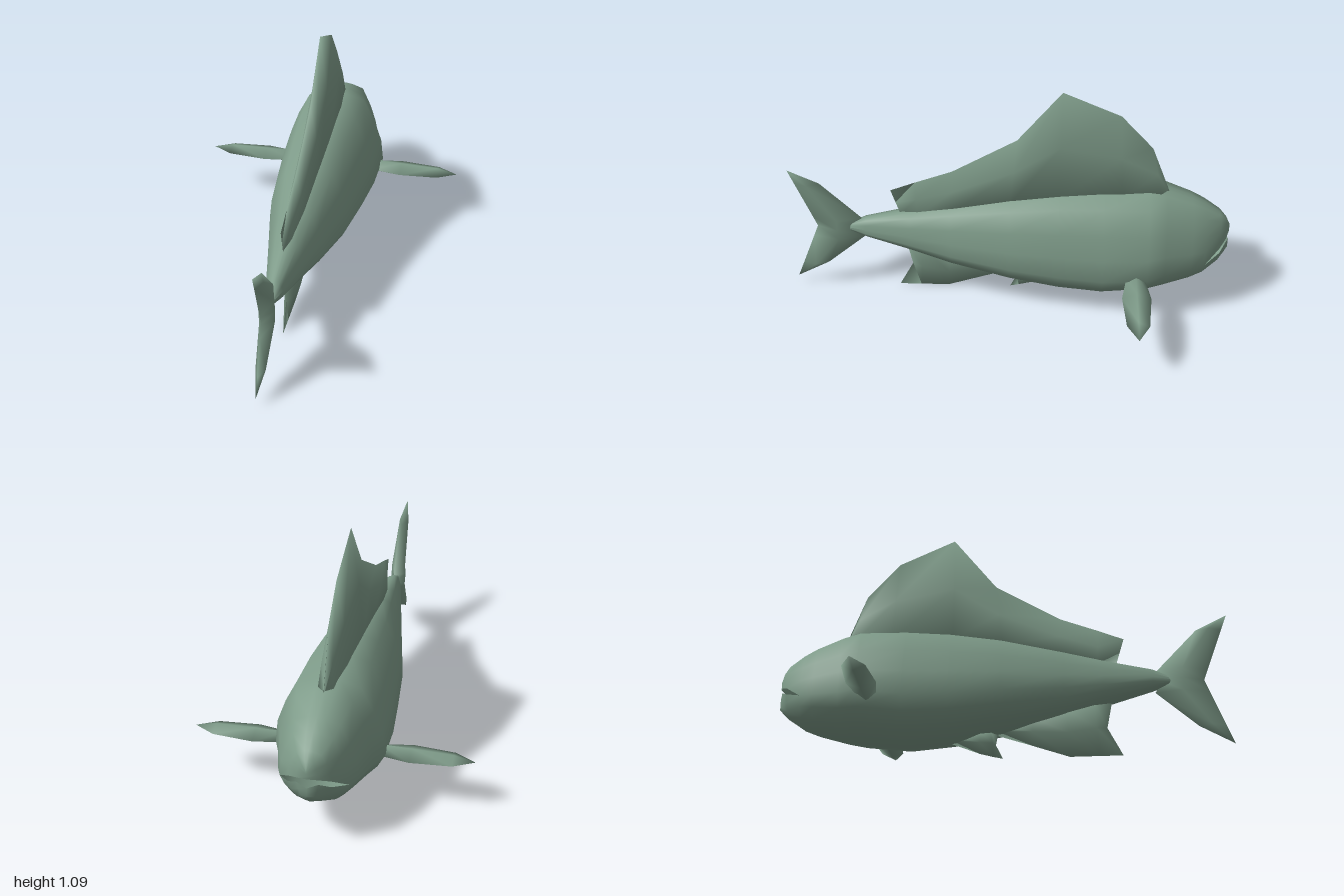
import * as THREE from 'three';
import { mergeVertices } from 'three/addons/utils/BufferGeometryUtils.js';

const V = (x, y, z) => new THREE.Vector3(x, y, z);

// Skin a list of closed rings; quads listed in skip are left open
function loft(rings, skip = []) {
  const n = rings[0].length, idx = [];
  for (let i = 0; i < rings.length - 1; i++) {
    for (let j = 0; j < n; j++) {
      if (skip.includes(j)) continue;
      const a = i * n + j, b = i * n + (j + 1) % n;
      idx.push(a, b, a + n, b, b + n, a + n);
    }
  }
  const pts = rings.flat();
  // Turn faces outward using the enclosed volume
  let volume = 0;
  for (let i = 0; i < idx.length; i += 3) {
    volume += pts[idx[i]].dot(V(0, 0, 0).crossVectors(pts[idx[i + 1]], pts[idx[i + 2]]));
  }
  if (volume < 0) idx.reverse();
  let geo = new THREE.BufferGeometry().setFromPoints(pts);
  geo.setIndex(idx);
  geo = mergeVertices(geo, 1e-4);
  geo.computeVertexNormals();
  return geo;
}

// Body ring: the side profile is split at the lip line
function bodyRing([z, top, bottom, w, lipUp, lipLow]) {
  const lip = bottom + 0.31 * (top - bottom);
  const up = lipUp ?? lip, low = lipLow ?? lip;
  const upper = [[0, 0], [0.02, 0.2], [0.1, 0.57], [0.4, 0.79], [0.7, 0.95], [1, 1]];
  const lower = [[0, 1], [0.4, 0.86], [0.77, 0.62], [0.94, 0.22], [1, 0]];
  const half = [
    ...upper.map(([k, f]) => V(w * f, top + (up - top) * k, z)),
    ...lower.map(([k, f]) => V(w * f, low + (bottom - low) * k, z)),
  ];
  const mirror = half.slice(1, -1).reverse().map((p) => V(-p.x, p.y, p.z));
  return [...half, ...mirror];
}

// Upright fin station: base z,y, edge z,y, half thickness, optional mid z
function finRing([bz, by, ez, ey, t, mz = (bz + ez) / 2]) {
  const my = (by + ey) / 2, m = t * 0.65;
  return [V(t, by, bz), V(m, my, mz), V(0, ey, ez), V(-m, my, mz), V(-t, by, bz)];
}

export function createModel() {
  const group = new THREE.Group();
  const skin = new THREE.MeshStandardMaterial({ color: 0x7f9c8a, side: THREE.DoubleSide });
  skin.name = 'sage green skin';
  const add = (name, geo) => {
    const mesh = new THREE.Mesh(geo, skin);
    mesh.name = name;
    group.add(mesh);
    return mesh;
  };

  // Body from tail root to snout, mouth left open between the lips
  const stations = [
    [0.78, 0.347, 0.343, 0],
    [0.66, 0.40, 0.30, 0.04],
    [0.45, 0.445, 0.24, 0.085],
    [0.27, 0.49, 0.18, 0.125],
    [0, 0.55, 0.12, 0.185],
    [-0.22, 0.585, 0.08, 0.21],
    [-0.42, 0.60, 0.065, 0.23],
    [-0.62, 0.60, 0.092, 0.238],
    [-0.70, 0.585, 0.105, 0.205],
    [-0.82, 0.54, 0.14, 0.17],
    [-0.88, 0.51, 0.165, 0.145],
    [-0.95, 0.465, 0.215, 0.09, 0.33, 0.302],
    [-0.98, 0.435, 0.245, 0.045, 0.35, 0.328],
    [-0.997, 0.40, 0.265, 0, 0.36, 0.315],
  ];
  add('body', loft(stations.map(bodyRing), [5, 14]));

  // Sail-like fin on the back
  add('dorsalFin', loft([
    [-0.71, 0.56, -0.71, 0.585, 0],
    [-0.68, 0.56, -0.625, 0.81, 0.035],
    [-0.50, 0.57, -0.48, 0.975, 0.05],
    [-0.22, 0.56, -0.225, 1.09, 0.052],
    [0, 0.53, -0.03, 0.84, 0.047],
    [0.26, 0.47, 0.26, 0.665, 0.038],
    [0.42, 0.43, 0.43, 0.60, 0.022],
    [0.50, 0.42, 0.54, 0.555, 0],
  ].map(finRing)));

  // Fins under the belly
  add('analFin', loft([
    [-0.02, 0.15, -0.02, 0.11, 0],
    [0.13, 0.18, 0.13, 0.06, 0.03],
    [0.28, 0.21, 0.29, 0.005, 0.042],
    [0.40, 0.25, 0.42, 0.005, 0.03],
    [0.48, 0.26, 0.52, 0.005, 0, 0.455],
  ].map(finRing)));
  add('pelvicFin', loft([
    [-0.22, 0.11, -0.22, 0.078, 0],
    [-0.10, 0.12, -0.10, 0.03, 0.04],
    [-0.05, 0.13, -0.04, 0.014, 0.03],
    [-0.02, 0.13, 0, 0.005, 0, -0.03],
  ].map(finRing)));

  // Forked tail: y, leading z, trailing z, half thickness
  add('tailFin', loft([
    [0.655, 1, 1, 0],
    [0.585, 0.86, 0.974, 0.022],
    [0.395, 0.68, 0.903, 0.033],
    [0.345, 0.70, 0.885, 0.036],
    [0.29, 0.67, 0.906, 0.033],
    [0.13, 0.85, 0.967, 0.022],
    [0.045, 1, 1, 0],
  ].map(([y, a, b, t]) => {
    const m = (a + b) / 2;
    return [V(0, y, a), V(t, y, m), V(0, y, b), V(-t, y, m)];
  })));

  // Mirrored side fins and faint eyes
  for (const [side, s] of [['left', 1], ['right', -1]]) {
    add(side + 'PectoralFin', loft([
      [0.18, -0.57, 0, 0],
      [0.20, -0.57, 0.04, 0.029],
      [0.34, -0.57, 0.065, 0.027],
      [0.52, -0.57, 0.05, 0.022],
      [0.612, -0.57, 0, 0],
    ].map(([x, z, d, h]) => [
      V(s * x, 0.237, z - d), V(s * x, 0.237 + h, z),
      V(s * x, 0.237, z + d), V(s * x, 0.237 - h, z),
    ])));

    const eye = add(side + 'Eye', new THREE.SphereGeometry(0.035, 8, 6));
    eye.scale.set(0.3, 1, 1);
    eye.position.set(s * 0.125, 0.385, -0.85);
    eye.rotation.set(0, s * 0.45, s * 0.3);
  }
  return group;
}
